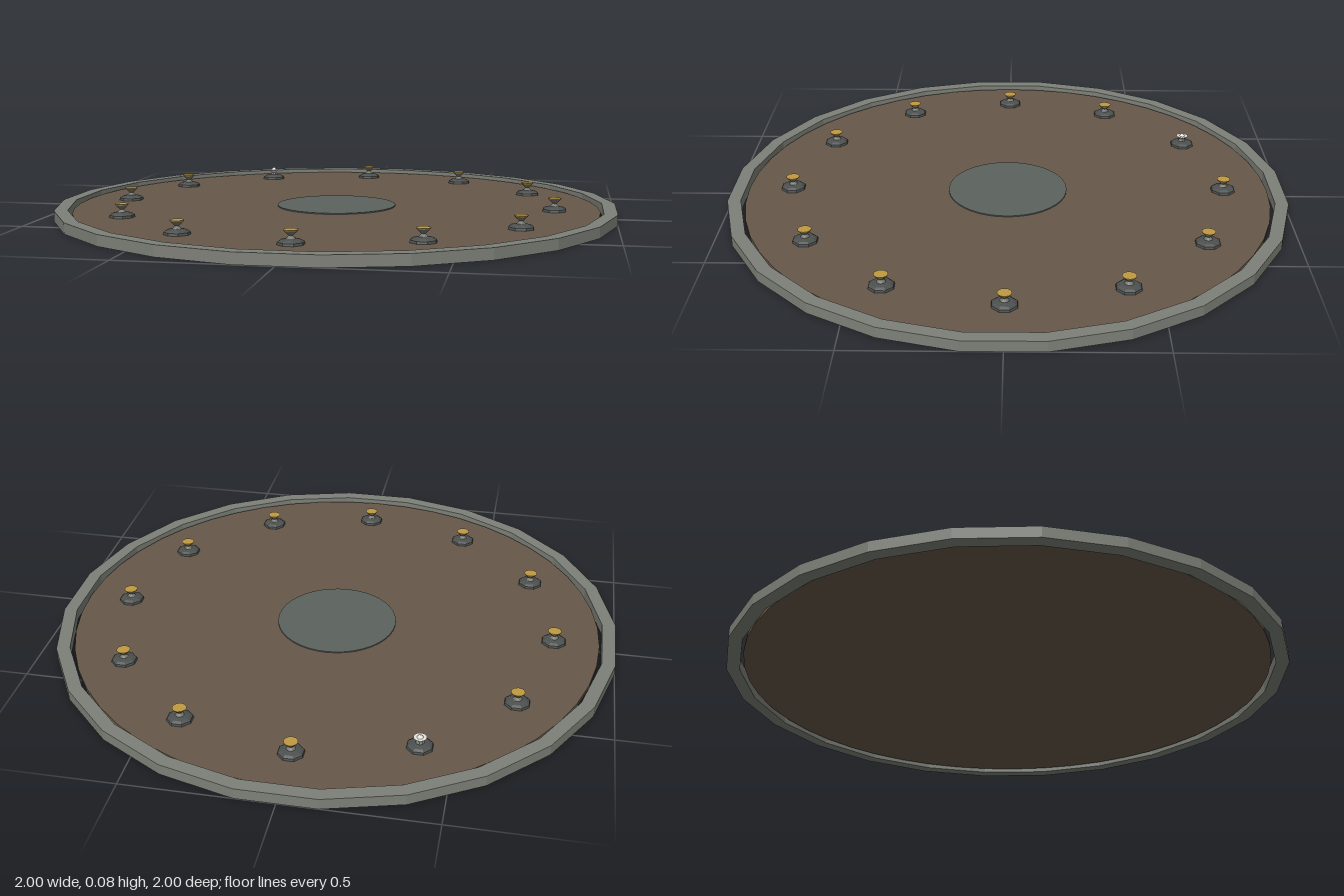
import * as THREE from 'three';

const mat = (color, flat = true) => new THREE.MeshStandardMaterial({ color, flatShading: flat });

function add(parent, name, geometry, material, y = 0) {
  const mesh = new THREE.Mesh(geometry, material);
  mesh.name = name;
  mesh.position.y = y;
  parent.add(mesh);
  return mesh;
}

// Lathe from [radius, height] pairs
const lathe = (pairs, sides, phase = 0) =>
  new THREE.LatheGeometry(pairs.map(([r, y]) => new THREE.Vector2(r, y)), sides, phase);

export function createModel() {
  const group = new THREE.Group();
  const stone = mat(0x7d8078);
  const wood = mat(0x66584a);
  const slate = mat(0x5c625e);
  const iron = mat(0x4c504e);
  const stem = mat(0x74766f);
  const brass = mat(0xc09a40);
  const pearl = mat(0xe4e2da);

  // Outer rim: 24 flat segments with a flat facing each axis
  const sides = 24;
  const corner = 1 / Math.cos(Math.PI / sides);
  const inner = 0.953 * corner;
  add(group, 'rim', lathe(
    [[inner, 0], [corner, 0], [corner, 0.038], [inner, 0.038], [inner, 0]],
    sides, Math.PI / sides), stone);

  // Floor disc, recessed between the rim's edges
  add(group, 'floor', new THREE.CylinderGeometry(0.946, 0.946, 0.014, 48), wood, 0.018);
  add(group, 'centrePlate', new THREE.CylinderGeometry(0.215, 0.215, 0.004, 40), slate, 0.027);

  // Twelve posts around the floor; one carries a pointed pearl tip
  const count = 12, special = 7;
  for (let i = 0; i < count; i++) {
    const a = (i / count) * Math.PI * 2;
    const post = new THREE.Group();
    post.name = 'post';
    post.position.set(Math.sin(a) * 0.785, 0.025, Math.cos(a) * 0.785);
    group.add(post);

    add(post, 'postBase', lathe(
      [[0, 0], [0.045, 0], [0.043, 0.008], [0.034, 0.014], [0.016, 0.018], [0, 0.018]], 8, Math.PI / 8), iron);
    if (i === special) {
      add(post, 'postStem', new THREE.CylinderGeometry(0.008, 0.016, 0.012, 8), stem, 0.022);
      add(post, 'pearlCup', new THREE.CylinderGeometry(0.022, 0.008, 0.012, 12), pearl, 0.032);
      add(post, 'pearlTip', new THREE.ConeGeometry(0.012, 0.013, 12), pearl, 0.0435);
    } else {
      add(post, 'postStem', lathe(
        [[0.017, 0.016], [0.007, 0.027], [0.022, 0.042]], 12), stem);
      add(post, 'brassCap', new THREE.CylinderGeometry(0.024, 0.022, 0.004, 12), brass, 0.044);
    }
  }
  return group;
}
